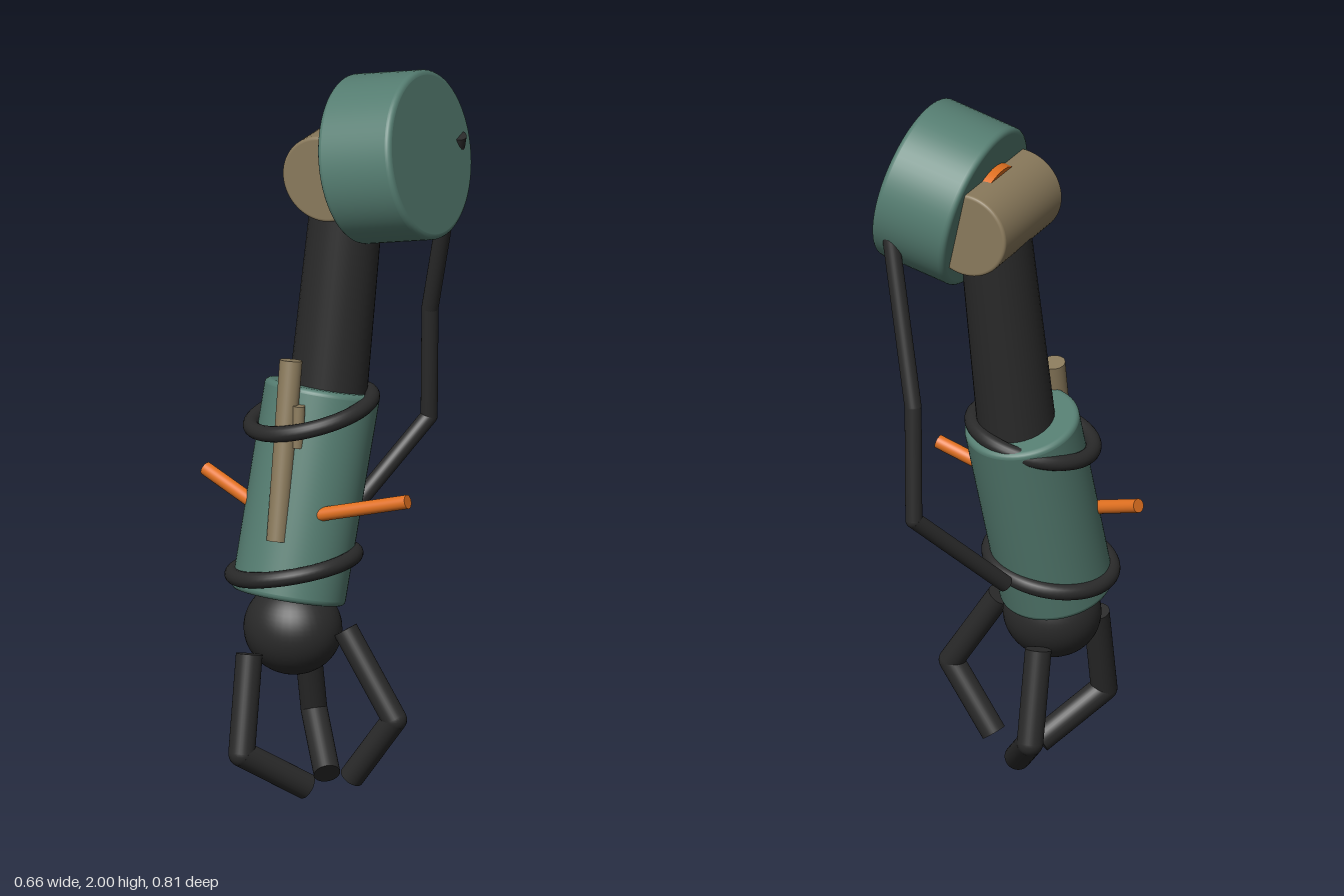
import * as THREE from 'three';

const V = (p) => new THREE.Vector3(...p);
const UP = new THREE.Vector3(0, 1, 0);

function paint(name, color) {
  const m = new THREE.MeshStandardMaterial({ color });
  m.name = name;
  return m;
}

export function createModel() {
  const teal = paint('teal', 0x557d71);
  const dark = paint('charcoal', 0x2a2a2a);
  const tan = paint('tan', 0x8a7a5c);
  const orange = paint('orange', 0xe07020);

  const model = new THREE.Group();
  model.name = 'mechanicalArm';

  function add(name, geometry, material, parent = model) {
    const mesh = new THREE.Mesh(geometry, material);
    mesh.name = name;
    parent.add(mesh);
    return mesh;
  }

  // Lay a mesh modelled along y between two points
  function span(mesh, a, b) {
    mesh.position.copy(a).add(b).multiplyScalar(0.5);
    mesh.quaternion.setFromUnitVectors(UP, b.clone().sub(a).normalize());
    return mesh;
  }

  // Plain rod from a to b, ra at the start and rb at the end
  function rod(name, a, b, ra, rb, material, parent) {
    const [p, q] = [V(a), V(b)];
    const geometry = new THREE.CylinderGeometry(rb, ra, p.distanceTo(q), 32);
    return span(add(name, geometry, material, parent), p, q);
  }

  // Cylinder with softly rounded rims
  function drum(name, a, b, ra, rb, bevel, material) {
    const [p, q] = [V(a), V(b)];
    const h = p.distanceTo(q) / 2;
    const e = 0.001;
    const pts = [new THREE.Vector2(0, -h), new THREE.Vector2(ra - bevel - e, -h)];
    for (const [r, end] of [[ra, -1], [rb, 1]]) {
      if (end > 0) pts.push(new THREE.Vector2(r, h - bevel - e));
      for (let i = 0; i <= 4; i++) {
        const t = ((end < 0 ? i : 4 - i) / 4) * Math.PI / 2;
        pts.push(new THREE.Vector2(r - bevel + bevel * Math.sin(t), end * (h - bevel + bevel * Math.cos(t))));
      }
      if (end < 0) pts.push(new THREE.Vector2(r, -h + bevel + e));
    }
    pts.push(new THREE.Vector2(rb - bevel - e, h), new THREE.Vector2(0, h));
    return span(add(name, new THREE.LatheGeometry(pts, 64), material), p, q);
  }

  // Straight segments with filled joints
  function chain(name, points, radius, material) {
    const group = new THREE.Group();
    group.name = name;
    model.add(group);
    for (let i = 0; i < points.length - 1; i++) {
      rod(name + 'Segment', points[i], points[i + 1], radius, radius, material, group);
      if (i > 0) {
        add(name + 'Joint', new THREE.SphereGeometry(radius, 24, 16), material, group).position.set(...points[i]);
      }
    }
  }

  // Shoulder: big drum, orange washer on its inner face, crosswise hub
  drum('shoulderDrum', [0.025, 1.735, -0.075], [0.245, 1.782, -0.095], 0.23, 0.23, 0.014, teal);
  rod('shoulderWasher', [0.003, 1.73, -0.073], [0.06, 1.743, -0.078], 0.13, 0.13, orange);
  drum('shoulderHub', [-0.015, 1.725, -0.238], [0.02, 1.725, 0.1], 0.12, 0.12, 0.008, tan);

  // Upper arm and forearm
  rod('upperArm', [-0.03, 1.03, 0], [0, 1.72, -0.078], 0.107, 0.097, dark);
  drum('forearm', [-0.055, 0.54, 0.152], [-0.045, 1.096, -0.008], 0.155, 0.157, 0.014, teal);

  // Tilted rings round the forearm
  const rings = [
    [[-0.05, 0.63, 0.13], [-0.21, 1, 0]],
    [[-0.05, 1.04, 0.042], [-0.22, 1, 0.12]],
  ];
  for (const [position, normal] of rings) {
    const ring = add('forearmRing', new THREE.TorusGeometry(0.168, 0.022, 16, 64), dark);
    ring.position.set(...position);
    ring.quaternion.setFromUnitVectors(new THREE.Vector3(0, 0, 1), V(normal).normalize());
  }

  // Rods fixed to the forearm
  rod('forearmRod', [-0.032, 0.73, 0.245], [-0.053, 1.21, 0.14], 0.028, 0.031, tan);
  rod('forearmPeg', [-0.012, 0.98, 0.175], [-0.012, 1.095, 0.165], 0.017, 0.017, tan);
  rod('leftSpike', [0.05, 0.798, 0.172], [0.322, 0.877, 0.145], 0.019, 0.019, orange);
  rod('rightSpike', [-0.15, 0.793, 0.168], [-0.325, 0.853, 0.14], 0.019, 0.019, orange);

  // Wrist ball
  const wrist = add('wristBall', new THREE.SphereGeometry(0.127, 40, 28), dark);
  wrist.position.set(-0.033, 0.46, 0.162);
  wrist.scale.set(1.07, 1, 1);

  // Three bent fingers
  chain('leftFinger', [[0.12, 0.475, 0.14], [0.272, 0.245, 0.133], [0.14, 0.06, 0.14]], 0.034, dark);
  chain('frontFinger', [[-0.085, 0.415, 0.3], [-0.065, 0.155, 0.37], [0.04, 0.035, 0.21]], 0.036, dark);
  chain('backFinger', [[-0.08, 0.41, 0.022], [-0.095, 0.16, -0.042], [0.03, 0.035, 0.09]], 0.036, dark);

  // Loose cable from the shoulder to behind the forearm
  chain('cable', [
    [0.225, 1.785, -0.263], [0.075, 1.24, -0.358], [0.055, 0.92, -0.385], [-0.07, 0.66, -0.125],
  ], 0.023, dark);

  return model;
}
